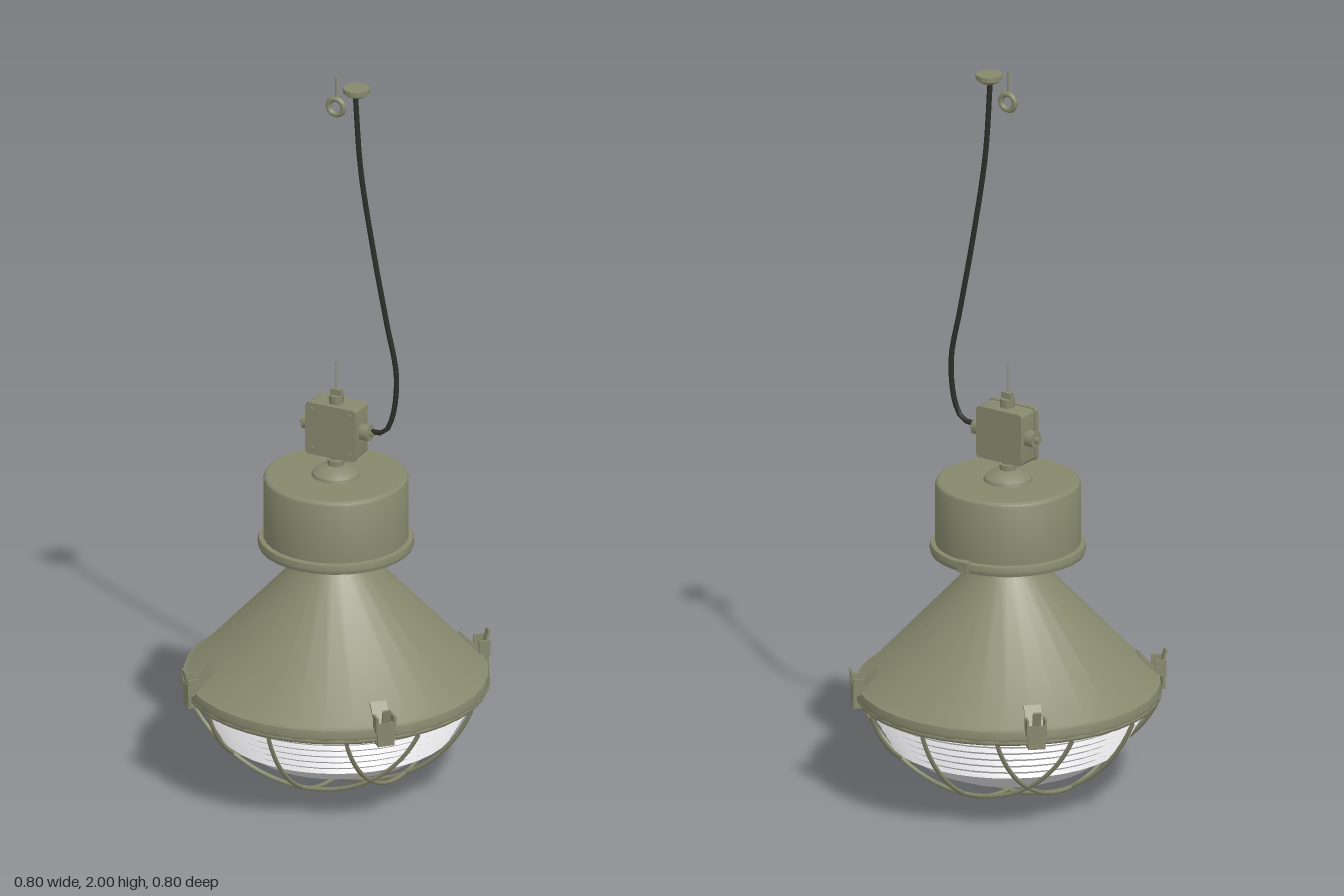
import * as THREE from 'three';
import { toCreasedNormals } from 'three/addons/utils/BufferGeometryUtils.js';

const mat = (name, color, side = THREE.FrontSide) => {
  const m = new THREE.MeshStandardMaterial({ color, side });
  m.name = name;
  return m;
};

export function createModel() {
  const olive = mat('olive paint', 0x86886d, THREE.DoubleSide);
  const glass = mat('pale glass', 0xe4e4e6, THREE.DoubleSide);
  const black = mat('black rubber', 0x2e2e29);
  const lamp = new THREE.Group();
  lamp.name = 'pendantLamp';

  const add = (name, geo, material, pos = [0, 0, 0], rot = [0, 0, 0], parent = lamp) => {
    const m = new THREE.Mesh(geo, material);
    m.name = name;
    m.position.set(...pos);
    m.rotation.set(...rot);
    parent.add(m);
    return m;
  };
  const lathe = (pts, seg = 32) =>
    toCreasedNormals(new THREE.LatheGeometry(pts.map(p => new THREE.Vector2(...p)), seg), 0.5);
  const cyl = (r, h, seg = 16) => new THREE.CylinderGeometry(r, r, h, seg);
  const box = (x, y, z) => new THREE.BoxGeometry(x, y, z);
  const H = Math.PI / 2;

  // Conical shade with rolled rim and neck
  add('shade', lathe([[0.37, 0.276], [0.398, 0.276], [0.402, 0.29], [0.398, 0.31],
    [0.385, 0.315], [0.1, 0.622], [0.095, 0.63], [0.095, 0.69]]), olive);

  // Ballast housing with stepped underside and flange
  add('housing', lathe([[0.09, 0.685], [0.13, 0.685], [0.13, 0.677], [0.165, 0.677], [0.165, 0.67],
    [0.202, 0.67], [0.205, 0.68], [0.202, 0.695], [0.19, 0.697], [0.19, 0.858], [0.187, 0.864],
    [0.18, 0.868], [0, 0.868]]), olive);
  add('housingLatch', box(0.03, 0.03, 0.02), olive, [0, 0.685, -0.2]);

  // Domed cap and stem carrying the junction box
  add('cap', lathe([[0.065, 0.866], [0.062, 0.876], [0.045, 0.889], [0.022, 0.897], [0.022, 0.912],
    [0.015, 0.913], [0.015, 0.94], [0, 0.94]], 20), olive);

  // Junction box with lid, screws and glands
  const junction = new THREE.Group();
  junction.name = 'junctionBox';
  junction.position.set(0, 1.0, -0.003);
  lamp.add(junction);
  const s = new THREE.Shape();
  const e = 0.071, c = 0.01;
  s.moveTo(-e + c, -e).lineTo(e - c, -e).quadraticCurveTo(e, -e, e, -e + c)
    .lineTo(e, e - c).quadraticCurveTo(e, e, e - c, e)
    .lineTo(-e + c, e).quadraticCurveTo(-e, e, -e, e - c)
    .lineTo(-e, -e + c).quadraticCurveTo(-e, -e, -e + c, -e);
  const slab = d => toCreasedNormals(
    new THREE.ExtrudeGeometry(s, { depth: d, bevelEnabled: false, curveSegments: 3 }), 0.6);
  add('boxBody', slab(0.06), olive, [0, 0, -0.04], [0, 0, 0], junction);
  const lid = add('boxLid', slab(0.014), olive, [0, 0, 0.022], [0, 0, 0], junction);
  lid.scale.set(1.03, 1.03, 1);
  for (const x of [-1, 1]) for (const y of [-1, 1])
    add('lidScrew', cyl(0.007, 0.006, 8), olive, [x * 0.055, y * 0.055, 0.037], [H, 0, 0], junction);
  for (const side of [-1, 1]) {
    add('gland', cyl(0.023, 0.026, 8), olive, [side * 0.083, 0, -0.007], [0, 0, H], junction);
    add('glandTip', cyl(0.009, 0.018, 10), olive, [side * 0.097, 0, -0.007], [0, 0, H], junction);
  }
  add('topGland', cyl(0.02, 0.024, 8), olive, [0, 0.082, 0], [0, 0, 0], junction);
  add('topLug', box(0.03, 0.022, 0.016), olive, [0, 0.1, 0], [0, 0, 0], junction);
  add('hangerPin', cyl(0.0015, 0.08, 6), olive, [0, 0.15, 0.003], [0, 0, 0], junction);

  // Ribbed glass bowl
  const bowl = [[0, 0.05], [0.08, 0.053], [0.16, 0.07], [0.23, 0.1], [0.285, 0.14]];
  for (let i = 0; i < 6; i++) {
    const y = 0.145 + i * 0.022, r = 0.295 + i * 0.0125;
    bowl.push([r, y], [r + 0.014, y + 0.005], [r + 0.008, y + 0.016]);
  }
  bowl.push([0.37, 0.28]);
  add('glassBowl', lathe(bowl, 40), glass);

  // Wire guard: crossed hoops on a spherical cap, hung from a ring
  const R = 0.4257, centreY = 0.006 + R;
  const guard = new THREE.Group();
  guard.name = 'wireGuard';
  lamp.add(guard);
  for (const d of [-0.2, 0, 0.2]) {
    const half = Math.sqrt(0.394 ** 2 - d * d);
    const pts = [];
    for (let i = 0; i <= 12; i++) {
      const x = half * Math.sin((i / 12 - 0.5) * Math.PI);
      pts.push(new THREE.Vector3(x, centreY - Math.sqrt(R * R - d * d - x * x), d));
    }
    const wire = new THREE.TubeGeometry(new THREE.CatmullRomCurve3(pts), 28, 0.006, 6);
    for (const turn of [0, H]) add('guardWire', wire, olive, [0, 0, 0], [0, turn, 0], guard);
  }
  add('guardRing', new THREE.TorusGeometry(0.394, 0.008, 6, 40), olive, [0, 0.28, 0], [H, 0, 0], guard);

  // Four toggle clips on the rim
  for (let i = 0; i < 4; i++) {
    const clip = new THREE.Group();
    clip.name = 'rimClip';
    clip.rotation.y = Math.PI / 4 + i * H;
    lamp.add(clip);
    add('clipTongue', box(0.045, 0.006, 0.07), olive, [0, 0.338, 0.367], [0.82, 0, 0], clip);
    add('clipPlate', box(0.045, 0.06, 0.008), olive, [0, 0.3, 0.409], [0, 0, 0], clip);
    add('clipFoot', box(0.045, 0.008, 0.035), olive, [0, 0.27, 0.396], [0, 0, 0], clip);
    add('clipLever', box(0.022, 0.05, 0.006), olive, [0, 0.345, 0.412], [0.25, 0, 0], clip);
    for (const x of [-1, 1])
      add('clipCheek', box(0.006, 0.045, 0.03), olive, [x * 0.024, 0.325, 0.4], [0, 0, 0], clip);
  }

  // Power cable up to the ceiling rose
  const path = [[0.1, 1.005, -0.01], [0.135, 1.01, -0.01], [0.155, 1.05, -0.016], [0.166, 1.17, -0.02],
    [0.14, 1.32, -0.015], [0.105, 1.52, -0.008], [0.072, 1.75, 0], [0.056, 1.965, 0]];
  add('cable', new THREE.TubeGeometry(
    new THREE.CatmullRomCurve3(path.map(p => new THREE.Vector3(...p))), 40, 0.007, 6), black);
  add('ceilingRose', lathe([[0, 1.957], [0.02, 1.957], [0.035, 1.967], [0.035, 1.98], [0, 1.98]], 12),
    olive, [0.06, 0, 0]);

  // Ceiling eye hook
  add('hookEye', new THREE.TorusGeometry(0.022, 0.008, 8, 18), olive, [0, 1.915, 0]);
  add('hookStem', cyl(0.003, 0.065, 6), olive, [0, 1.9675, 0]);

  return lamp;
}
